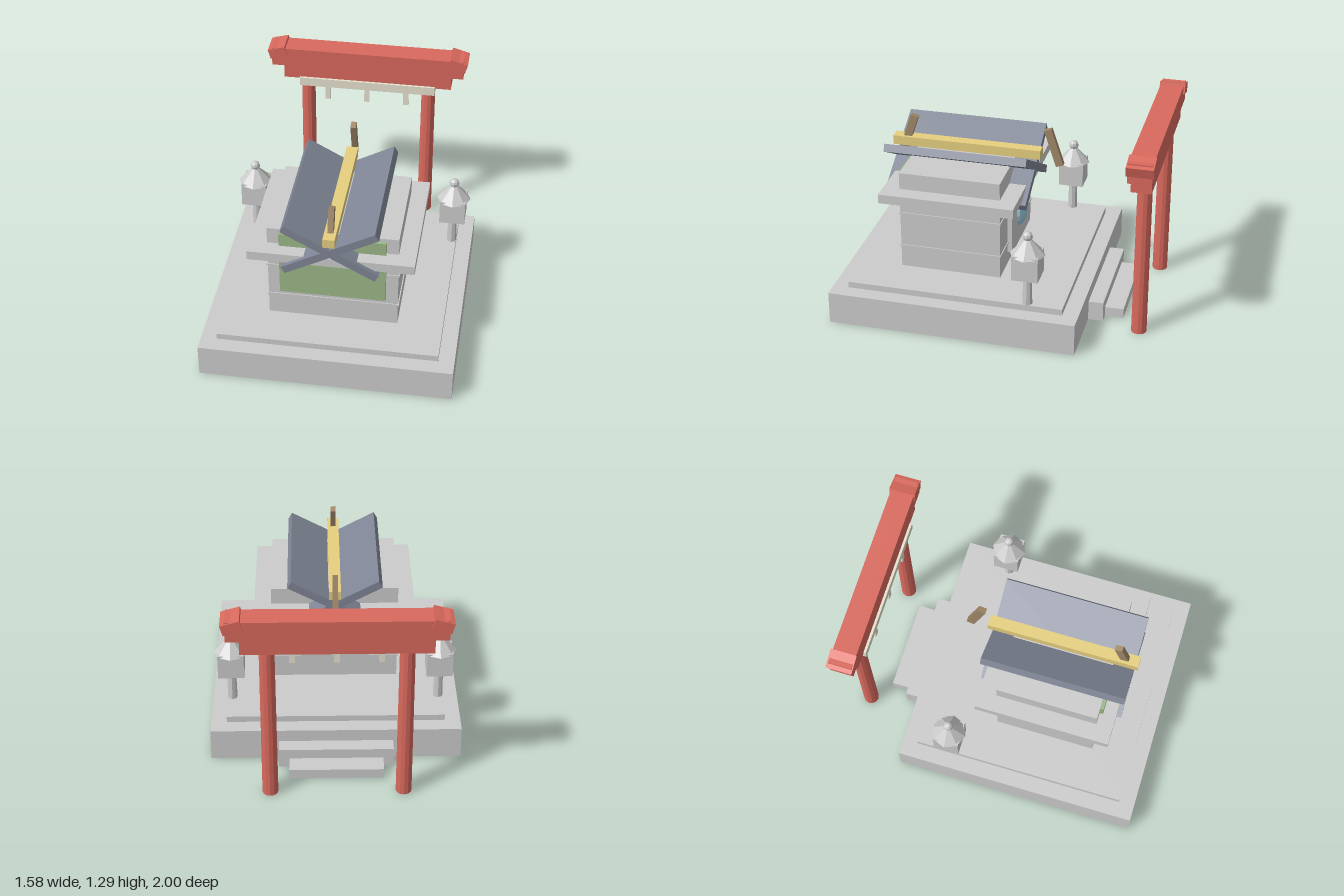
import * as THREE from 'three';

const mat = (color) => new THREE.MeshStandardMaterial({ color, flatShading: true });

export function createModel() {
  const model = new THREE.Group();
  const grey = mat(0xcccccc), red = mat(0xd9695d), green = mat(0x9ab888), slate = mat(0x7f8595);
  const gold = mat(0xe6cf80), brown = mat(0xa08868), blue = mat(0x9ccfdd), straw = mat(0xe6e2d0);

  const add = (name, geometry, material, x, y, z, parent = model) => {
    const mesh = new THREE.Mesh(geometry, material);
    mesh.name = name;
    mesh.position.set(x, y, z);
    parent.add(mesh);
    return mesh;
  };
  // Box given by width, bottom and top, back and front, centred on x
  const slab = (name, material, w, y0, y1, z0, z1, x = 0, parent = model) =>
    add(name, new THREE.BoxGeometry(w, y1 - y0, z1 - z0), material, x, (y0 + y1) / 2, (z0 + z1) / 2, parent);

  // Stone platform and steps
  slab('platform', grey, 1.58, 0, 0.21, -0.58, 1);
  slab('platformTop', grey, 1.38, 0.21, 0.25, -0.48, 0.9);
  slab('upperStep', grey, 0.72, 0, 0.13, -0.675, -0.58);
  slab('lowerStep', grey, 0.59, 0, 0.065, -0.795, -0.675);

  // Hall with trim bands, eave and upper block
  slab('hallWalls', grey, 0.81, 0.25, 0.91, -0.015, 0.635);
  for (const y of [0.4, 0.63]) slab('trimBand', grey, 0.824, y - 0.006, y + 0.006, -0.021, 0.641);
  slab('eave', grey, 1.025, 0.74, 0.8, -0.125, 0.74);
  slab('frontPanel', green, 0.66, 0.44, 0.887, 0.63, 0.657);
  slab('backPanel', grey, 0.44, 0.335, 0.75, -0.047, 0);
  add('roundMirror', new THREE.SphereGeometry(0.1, 12, 8), blue, 0, 0.53, -0.04).scale.z = 0.5;

  // Crossed roof slabs, ridge beam and leaning finials
  for (const s of [-1, 1]) {
    slab('roofSlab', slate, 0.653, 0.835, 0.885, -0.152, 0.768).rotation.z = s * 0.498;
    const finial = add('ridgeFinial', new THREE.BoxGeometry(0.035, 0.254, 0.05), brown, 0, 1.006, 0.2125 + s * 0.4775);
    finial.rotation.x = -s * 0.32;
  }
  slab('ridgeBeam', gold, 0.074, 0.925, 0.985, -0.183, 0.79);

  // Stone lanterns
  for (const s of [-1, 1]) {
    const lantern = new THREE.Group();
    lantern.name = 'lantern';
    lantern.position.set(s * 0.66, 0, -0.255);
    model.add(lantern);
    add('lanternPost', new THREE.CylinderGeometry(0.028, 0.031, 0.2, 8), grey, 0, 0.35, 0, lantern);
    slab('lanternBox', grey, 0.165, 0.447, 0.61, -0.0825, 0.0825, 0, lantern);
    add('lanternRoof', new THREE.ConeGeometry(0.11, 0.125, 8), grey, 0, 0.66, 0, lantern);
    add('lanternBall', new THREE.SphereGeometry(0.032, 8, 6), grey, 0, 0.718, 0, lantern);
  }

  // Gate
  const gate = new THREE.Group();
  gate.name = 'gate';
  model.add(gate);
  for (const s of [-1, 1]) {
    add('gatePillar', new THREE.CylinderGeometry(0.046, 0.049, 1.06, 12), red, s * 0.41, 0.53, -0.915, gate);
    const tip = add('beamTip', new THREE.BoxGeometry(0.118, 0.067, 0.165), red, s * 0.606, 1.237, -0.9175, gate);
    tip.rotation.z = -s * 0.28;
  }
  slab('lowerBeam', red, 1.13, 1.045, 1.14, -0.978, -0.852, 0, gate);
  slab('upperBeam', red, 1.29, 1.14, 1.27, -0.99, -0.842, 0, gate);
  slab('hangingRope', straw, 0.915, 0.997, 1.057, -0.881, -0.836, 0, gate);
  for (const x of [-0.265, 0, 0.265]) slab('streamer', straw, 0.035, 0.903, 1.0, -0.852, -0.84, x, gate);

  return model;
}
